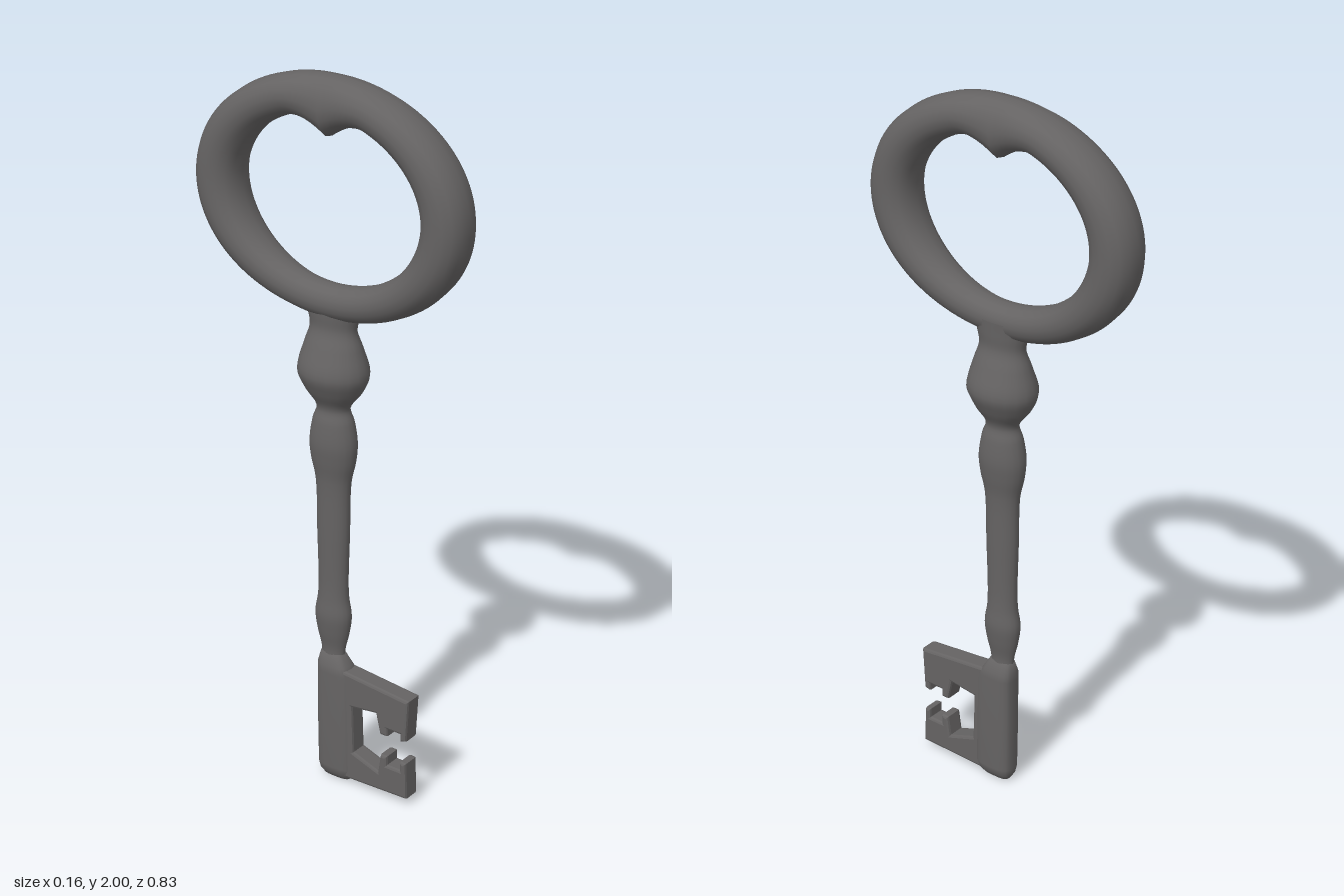
import * as THREE from 'three';

const material = new THREE.MeshStandardMaterial({ color: 0x656363 });

// Smooth skin over a list of closed cross-sections; optionally joins last to first
function loft(sections, closed) {
  const n = sections[0].length, m = sections.length, index = [];
  for (let i = 0; i < (closed ? m : m - 1); i++) {
    for (let j = 0; j < n; j++) {
      const k = (j + 1) % n, i2 = (i + 1) % m;
      const a = i * n + j, b = i * n + k, c = i2 * n + j, d = i2 * n + k;
      index.push(a, b, c, b, d, c);
    }
  }
  const geo = new THREE.BufferGeometry();
  geo.setAttribute('position', new THREE.Float32BufferAttribute(sections.flat(2), 3));
  geo.setIndex(index);
  geo.computeVertexNormals();
  return geo;
}

// Horizontal (super)ellipse; power below 1 squares it off
function oval(y, rz, rx, zc = 0, power = 1, sides = 20) {
  const bend = (v) => Math.sign(v) * Math.abs(v) ** power;
  return Array.from({ length: sides }, (_, j) => {
    const t = (j / sides) * Math.PI * 2;
    return [rx * bend(Math.cos(t)), y, zc + rz * bend(Math.sin(t))];
  });
}

// Oval bow with a small cusp inside the top and a slimmer lower side
function bowGeometry() {
  const steps = 120, sides = 16, cy = 1.68, sections = [];
  for (let i = 0; i < steps; i++) {
    const p = (i / steps) * Math.PI * 2, c = Math.cos(p), s = Math.sin(p);
    const zIn = 0.285 * c, zOut = 0.415 * c;
    const dip = s > 0 ? 0.055 * Math.max(0, 1 - Math.abs(zIn) / 0.11) ** 1.5 : 0;
    const yIn = cy + (s > 0 ? 0.217 : 0.23) * s - dip, yOut = cy + 0.32 * s;
    const rx = s > 0 ? 0.069 - 0.005 * s ** 4 : 0.069 - 0.022 * (-s) ** 4;
    const section = [];
    for (let j = 0; j < sides; j++) {
      const t = (j / sides) * Math.PI * 2, k = (1 + Math.cos(t)) / 2;
      const w = Math.sign(Math.sin(t)) * Math.abs(Math.sin(t)) ** 0.85;
      section.push([-0.006 + rx * w, yIn + (yOut - yIn) * k, zIn + (zOut - zIn) * k]);
    }
    sections.push(section);
  }
  return loft(sections, true);
}

// Turned shaft: height, half depth, half width
function shaftGeometry() {
  const rows = [
    [1.41, 0.09, 0.045], [1.37, 0.078, 0.043], [1.33, 0.07, 0.042], [1.28, 0.085, 0.06],
    [1.21, 0.102, 0.08], [1.16, 0.083, 0.062], [1.11, 0.048, 0.037], [1.07, 0.06, 0.045],
    [1.01, 0.07, 0.05], [0.96, 0.066, 0.045], [0.9, 0.053, 0.036], [0.75, 0.049, 0.033],
    [0.6, 0.045, 0.031], [0.55, 0.047, 0.033], [0.5, 0.055, 0.037], [0.45, 0.049, 0.031],
    [0.39, 0.036, 0.021], [0.33, 0.037, 0.028],
  ];
  const curve = new THREE.CatmullRomCurve3(rows.map((r) => new THREE.Vector3(...r)));
  return loft(curve.getPoints(85).map((p) => oval(p.x, p.y, p.z)), false);
}

// Squared foot of the shaft that carries the bit
function footGeometry() {
  const rows = [
    [0.385, 0.001, 0.001, 0], [0.384, 0.035, 0.02, 0], [0.352, 0.048, 0.033, 0.006],
    [0.33, 0.057, 0.036, 0.015], [0.2, 0.06, 0.036, 0.018], [0.04, 0.06, 0.036, 0.021],
    [0.018, 0.055, 0.03, 0.02], [0.002, 0.043, 0.019, 0.018], [0, 0.001, 0.001, 0.018],
  ];
  return loft(rows.map((r) => oval(...r, 0.65)), false);
}

// Bit outline (depth, height) with the warding slot open to the front
function bitGeometry() {
  const outline = [
    [0, 0.345], [0.05, 0.347], [0.265, 0.325], [0.258, 0.2], [0.24, 0.195], [0.24, 0.218],
    [0.197, 0.218], [0.197, 0.195], [0.174, 0.195], [0.16, 0.255], [0.08, 0.245],
    [0.085, 0.105], [0.168, 0.075], [0.176, 0.132], [0.197, 0.132], [0.197, 0.105],
    [0.24, 0.105], [0.24, 0.132], [0.258, 0.13], [0.262, 0.022], [0, 0.015],
  ];
  const shape = new THREE.Shape(outline.map(([z, y]) => new THREE.Vector2(z, y)));
  const geo = new THREE.ExtrudeGeometry(shape, {
    depth: 0.04, bevelEnabled: true, bevelThickness: 0.008, bevelSize: 0.007,
    bevelOffset: -0.007, bevelSegments: 2,
  });
  return geo.translate(0, 0, -0.02).rotateY(-Math.PI / 2);
}

export function createModel() {
  const key = new THREE.Group();
  key.name = 'key';
  const parts = {
    bow: bowGeometry(), shaft: shaftGeometry(), foot: footGeometry(), bit: bitGeometry(),
  };
  for (const [name, geometry] of Object.entries(parts)) {
    const mesh = new THREE.Mesh(geometry, material);
    mesh.name = name;
    key.add(mesh);
  }
  return key;
}
